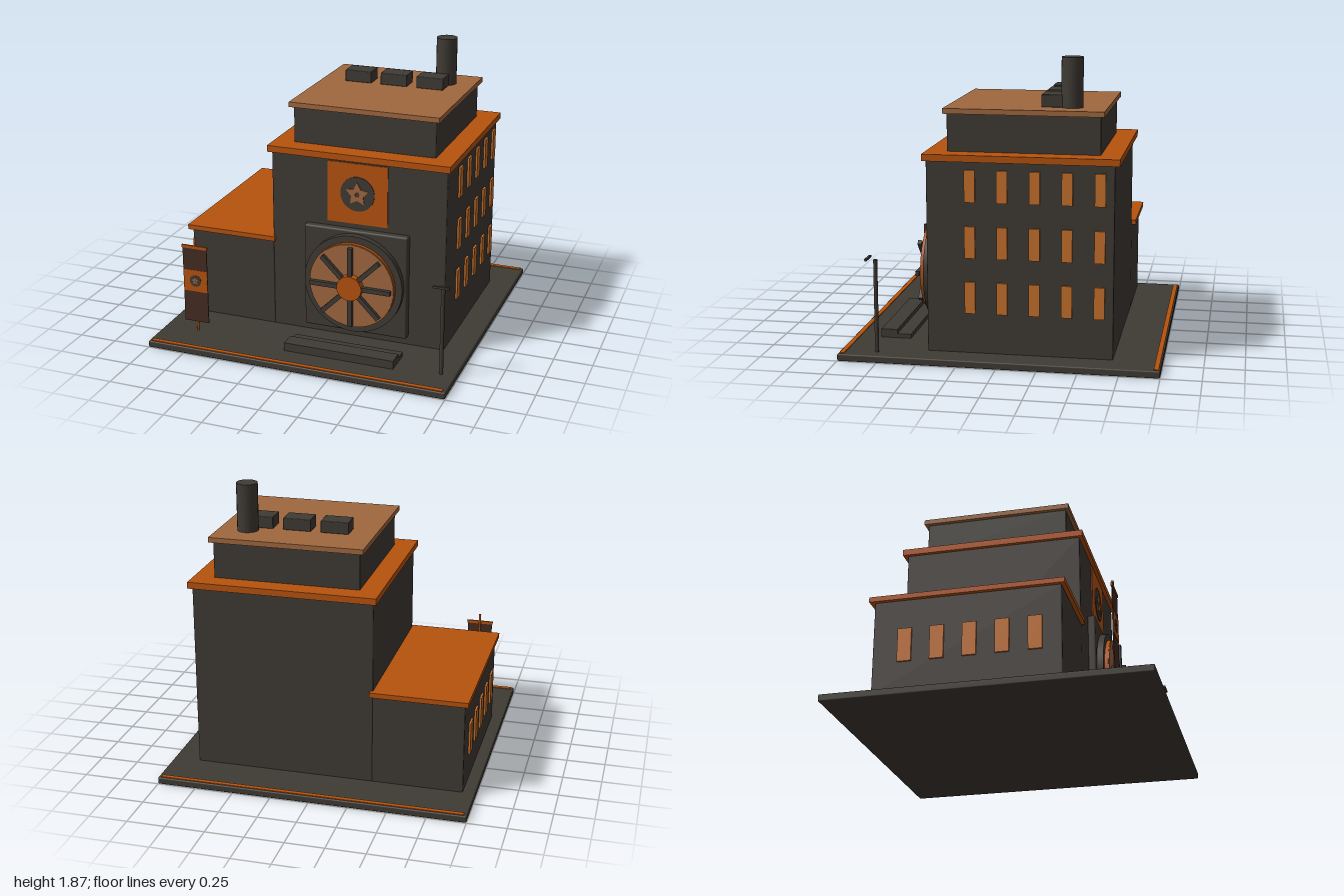
import * as THREE from 'three';
import { RoundedBoxGeometry } from 'three/addons/geometries/RoundedBoxGeometry.js';

export function createModel() {
  const root = new THREE.Group();
  root.name = 'factory';

  const mat = (name, color) => {
    const m = new THREE.MeshStandardMaterial({ color });
    m.name = name;
    return m;
  };
  const dark = mat('dark stone', 0x3f3a34);
  const orange = mat('burnt orange', 0xb7530e);
  const tan = mat('copper tan', 0xa0683f);
  const glow = mat('window amber', 0xc9722c);
  const cloth = mat('banner brown', 0x452c22);

  const add = (name, geo, material, x = 0, y = 0, z = 0, parent = root) => {
    const m = new THREE.Mesh(geo, material);
    m.name = name;
    m.position.set(x, y, z);
    parent.add(m);
    return m;
  };
  // Box from its min/max extents, optionally with a softened edge
  const box = (name, material, [x0, x1], [y0, y1], [z0, z1], bevel = 0) => {
    const s = [x1 - x0, y1 - y0, z1 - z0];
    const geo = bevel ? new RoundedBoxGeometry(...s, 1, bevel) : new THREE.BoxGeometry(...s);
    return add(name, geo, material, (x0 + x1) / 2, (y0 + y1) / 2, (z0 + z1) / 2);
  };
  // Disc facing +z, from z0 to z1
  const disc = (name, material, r, x, y, z0, z1, sides = 48) =>
    add(name, new THREE.CylinderGeometry(r, r, z1 - z0, sides).rotateX(Math.PI / 2),
      material, x, y, (z0 + z1) / 2);
  // Five-pointed star plate with a hole in the middle
  const star = (name, r, x, y, z, depth) => {
    const shape = new THREE.Shape();
    for (let i = 0; i < 10; i++) {
      const a = Math.PI / 2 + (i * Math.PI) / 5;
      const d = i % 2 ? r * 0.52 : r;
      shape[i ? 'lineTo' : 'moveTo'](d * Math.cos(a), d * Math.sin(a));
    }
    shape.holes.push(new THREE.Path().absarc(0, 0, r * 0.22, 0, Math.PI * 2, true));
    add(name, new THREE.ExtrudeGeometry(shape, { depth, bevelEnabled: false, curveSegments: 3 }),
      tan, x, y, z);
  };

  // Ground slab with edge stripes
  box('groundSlab', dark, [-1, 1], [0, 0.045], [-1, 1], 0.008);
  for (const z of [-0.975, 0.975])
    box('edgeStripe', orange, [-0.98, 0.98], [0.04, 0.05], [z - 0.015, z + 0.015]);

  // Main block, upper storey and side wing with overhanging roofs
  box('mainBlock', dark, [-0.34, 0.83], [0.04, 1.255], [-0.7, 0.46], 0.008);
  box('mainRoof', orange, [-0.363, 0.85], [1.25, 1.292], [-0.73, 0.483]);
  box('upperBlock', dark, [-0.23, 0.718], [1.285, 1.53], [-0.6, 0.352], 0.008);
  box('upperRoof', tan, [-0.255, 0.742], [1.527, 1.56], [-0.622, 0.373]);
  box('sideWing', dark, [-0.923, -0.335], [0.04, 0.64], [-0.7, 0.46], 0.008);
  box('wingRoof', orange, [-0.947, -0.322], [0.638, 0.67], [-0.73, 0.483]);

  // Rooftop vents and chimney
  for (const x of [0, 0.247, 0.495])
    box('roofVent', dark, [x - 0.091, x + 0.091], [1.56, 1.638], [-0.348, -0.215], 0.004);
  add('chimney', new THREE.CylinderGeometry(0.068, 0.068, 0.31, 20), dark, 0.552, 1.715, -0.403);

  // Window rows on both flanks
  for (let i = 0; i < 5; i++) {
    const z = 0.187 - i * 0.2;
    for (const y of [0.4, 0.75, 1.1])
      box('mainWindow', glow, [0.825, 0.843], [y - 0.1, y + 0.1], [z - 0.033, z + 0.033]);
    const w = 0.3 - i * 0.2;
    box('wingWindow', glow, [-0.936, -0.915], [0.235, 0.447], [w - 0.043, w + 0.043]);
  }

  // Front emblem panel
  box('emblemPanel', orange, [0.043, 0.445], [0.832, 1.235], [0.458, 0.467]);
  disc('emblemDisc', dark, 0.114, 0.245, 1.034, 0.465, 0.472);
  star('emblemStar', 0.08, 0.245, 1.034, 0.472, 0.005);

  // Great fan: housing, ring, copper face, spokes and hub
  const fx = 0.245, fy = 0.45;
  box('fanHousing', dark, [fx - 0.348, fx + 0.348], [0.1, 0.8], [0.45, 0.508], 0.012);
  disc('fanRing', dark, 0.33, fx, fy, 0.5, 0.55);
  disc('fanRim', orange, 0.286, fx, fy, 0.545, 0.574);
  disc('fanFace', tan, 0.282, fx, fy, 0.574, 0.58);
  const spokes = new THREE.Group();
  spokes.name = 'fanSpokes';
  spokes.position.set(fx, fy, 0.602);
  root.add(spokes);
  for (let i = 0; i < 4; i++)
    add('spokePair', new THREE.BoxGeometry(0.54, 0.03, 0.026), dark, 0, 0, 0, spokes)
      .rotation.z = (i * Math.PI) / 4;
  disc('fanHub', orange, 0.083, fx, fy, 0.575, 0.627, 32);

  // Entrance steps
  box('tallStep', dark, [-0.122, 0.61], [0.04, 0.1], [0.715, 0.82]);
  box('lowStep', dark, [-0.122, 0.61], [0.04, 0.072], [0.625, 0.715]);

  // Hanging banner on its pole
  const bx = -0.77;
  add('bannerPole', new THREE.CylinderGeometry(0.008, 0.008, 0.655, 10), orange, bx, 0.37, 0.738);
  box('bannerCloth', cloth, [bx - 0.085, bx + 0.085], [0.11, 0.64], [0.744, 0.75]);
  box('bannerBar', orange, [bx - 0.09, bx + 0.09], [0.625, 0.645], [0.741, 0.753]);
  box('bannerPatch', orange, [bx - 0.084, bx + 0.084], [0.325, 0.475], [0.748, 0.752]);
  disc('bannerDisc', dark, 0.04, bx, 0.4, 0.75, 0.754, 24);
  star('bannerStar', 0.027, bx, 0.4, 0.754, 0.002);

  // Street lamp
  add('lampPost', new THREE.CylinderGeometry(0.013, 0.013, 0.595, 12), dark, 0.906, 0.3375, 0.767);
  box('lampHead', dark, [0.853, 0.96], [0.636, 0.65], [0.807, 0.821]);

  return root;
}
